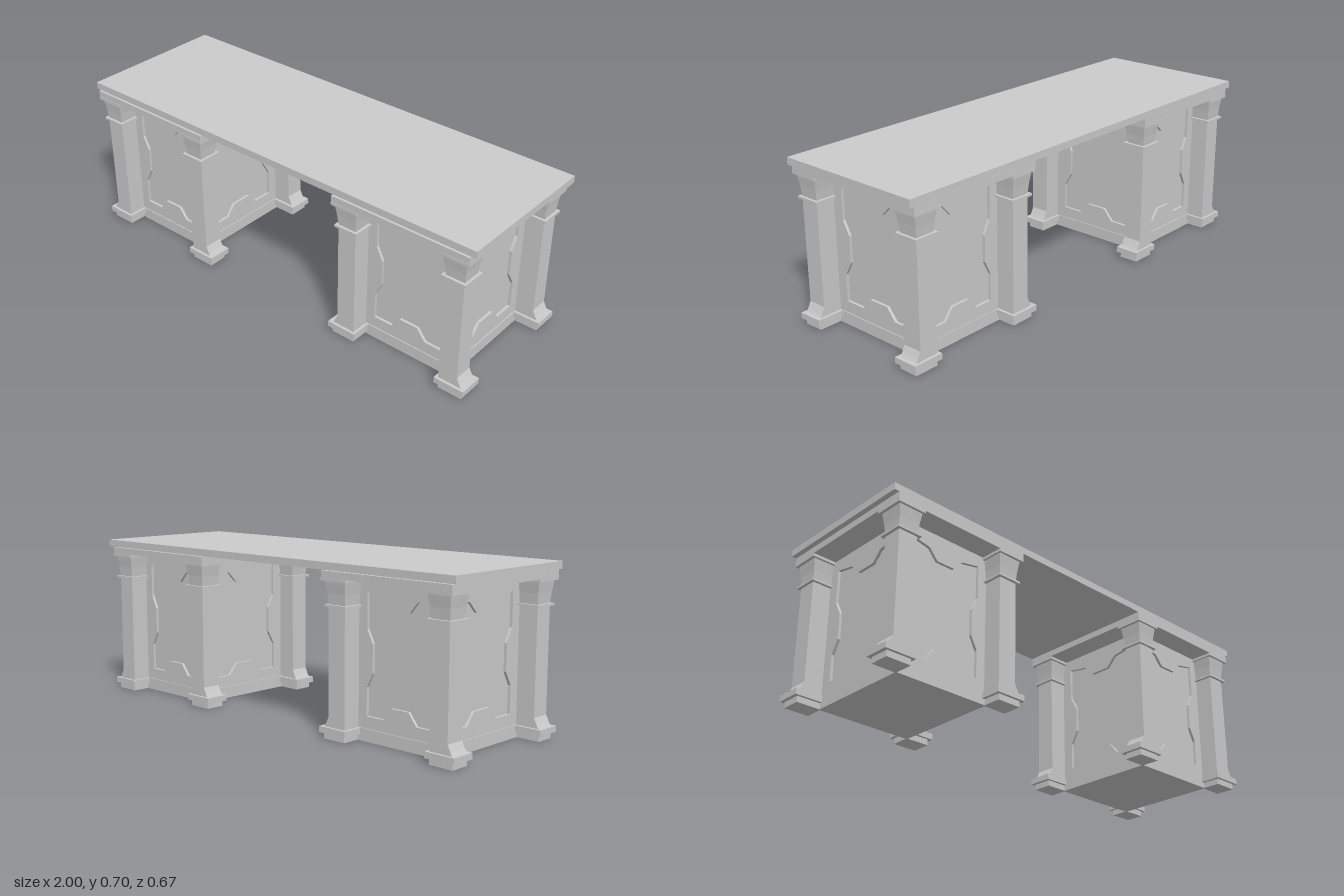
import * as THREE from 'three';

const material = new THREE.MeshStandardMaterial({ color: 0xcccccc, flatShading: true });

function addMesh(parent, name, geometry, x = 0, y = 0, z = 0) {
  const mesh = new THREE.Mesh(geometry, material);
  mesh.name = name;
  mesh.position.set(x, y, z);
  parent.add(mesh);
  return mesh;
}

// Box given by its bottom and top heights
function addBox(parent, name, w, d, y0, y1, x = 0, z = 0) {
  return addMesh(parent, name, new THREE.BoxGeometry(w, y1 - y0, d), x, (y0 + y1) / 2, z);
}

// Rectangular loft from rings of [y, xInner, xOuter, zHalf]
function loft(sections) {
  const pos = [], index = [];
  for (const [y, xi, xo, h] of sections) pos.push(xi, y, h, xo, y, h, xo, y, -h, xi, y, -h);
  const n = sections.length;
  for (let s = 0; s < n - 1; s++) {
    for (let i = 0; i < 4; i++) {
      const a = s * 4 + i, b = s * 4 + (i + 1) % 4;
      index.push(a, b, b + 4, a, b + 4, a + 4);
    }
  }
  const t = (n - 1) * 4;
  index.push(0, 2, 1, 0, 3, 2, t, t + 1, t + 2, t, t + 2, t + 3);
  const g = new THREE.BufferGeometry();
  g.setAttribute('position', new THREE.Float32BufferAttribute(pos, 3));
  g.setIndex(index);
  const flat = g.toNonIndexed();
  flat.computeVertexNormals();
  return flat;
}

const COL_X = 0.249, COL_Z = 0.2705;
const BODY_X = 0.209, BODY_Z = 0.231, BODY_TOP = 0.637;
const RECESS = 0.012;

// Square column whose foot flares outward along +x
function createColumn() {
  const column = new THREE.Group();
  column.name = 'column';
  addBox(column, 'plinth', 0.107, 0.084, 0, 0.026, 0.0125);
  addBox(column, 'basePlate', 0.135, 0.108, 0.025, 0.05, 0.0135);
  addMesh(column, 'shaft', loft([
    [0.049, -0.042, 0.064, 0.042],
    [0.062, -0.042, 0.056, 0.042],
    [0.09, -0.042, 0.042, 0.042],
    [0.53, -0.042, 0.042, 0.042],
  ]));
  addBox(column, 'neckBand', 0.108, 0.108, 0.523, 0.533);
  addMesh(column, 'capital', loft([
    [0.532, -0.042, 0.042, 0.042],
    [0.575, -0.046, 0.046, 0.046],
    [0.61, -0.051, 0.051, 0.051],
    [0.625, -0.053, 0.053, 0.053],
  ]));
  addBox(column, 'capitalPlate', 0.126, 0.126, 0.623, 0.636, 0.002);
  return column;
}

// Wall slab pierced by the notched panel outline
function createFrame(halfWidth) {
  const k = halfWidth / BODY_Z;
  const half = [
    [0.046, 0.523], [0.09, 0.568], [0.183, 0.585], [0.183, 0.442], [0.151, 0.385],
    [0.151, 0.272], [0.183, 0.215], [0.183, 0.1], [0.09, 0.1], [0.047, 0.15],
  ];
  const outline = [...half, ...half.map(([x, y]) => [-x, y]).reverse()]
    .map(([x, y]) => new THREE.Vector2(x * k, y));
  const shape = new THREE.Shape([
    new THREE.Vector2(-halfWidth, 0), new THREE.Vector2(halfWidth, 0),
    new THREE.Vector2(halfWidth, BODY_TOP), new THREE.Vector2(-halfWidth, BODY_TOP),
  ]);
  shape.holes.push(new THREE.Path(outline));
  return new THREE.ExtrudeGeometry(shape, { depth: RECESS, bevelEnabled: false });
}

function createPedestal() {
  const pedestal = new THREE.Group();
  pedestal.name = 'pedestal';

  // Cabinet body with recessed panels on all four sides
  addBox(pedestal, 'cabinetCore', 2 * (BODY_X - RECESS), 2 * (BODY_Z - RECESS), 0, BODY_TOP);
  const frontFrame = createFrame(BODY_X), sideFrame = createFrame(BODY_Z);
  for (let i = 0; i < 4; i++) {
    const isSide = i % 2 === 1;
    const angle = i * Math.PI / 2;
    const dist = (isSide ? BODY_X : BODY_Z) - RECESS;
    const frame = addMesh(pedestal, isSide ? 'sidePanelFrame' : 'frontPanelFrame',
      isSide ? sideFrame : frontFrame, Math.sin(angle) * dist, 0, Math.cos(angle) * dist);
    frame.rotation.y = angle;
  }
  addBox(pedestal, 'skirting', 2 * BODY_X + 0.008, 2 * BODY_Z + 0.008, 0, 0.051);

  // Corner columns, feet facing outward
  for (const sx of [1, -1]) {
    for (const sz of [1, -1]) {
      const column = createColumn();
      column.position.set(sx * COL_X, 0, sz * COL_Z);
      if (sx < 0) column.rotation.y = Math.PI;
      pedestal.add(column);
    }
  }

  addBox(pedestal, 'pedestalSlab', 0.628, 0.664, 0.635, 0.663);
  // Hidden spacer carrying the desktop
  addBox(pedestal, 'spacer', 0.6, 0.63, 0.662, 0.668);
  return pedestal;
}

export function createModel() {
  const desk = new THREE.Group();
  desk.name = 'desk';
  addBox(desk, 'desktop', 2, 0.665, 0.667, 0.697, 0, -0.003);
  for (const [name, x] of [['leftPedestal', 0.662], ['rightPedestal', -0.668]]) {
    const pedestal = createPedestal();
    pedestal.name = name;
    pedestal.position.set(x, 0, 0.003);
    desk.add(pedestal);
  }
  return desk;
}
